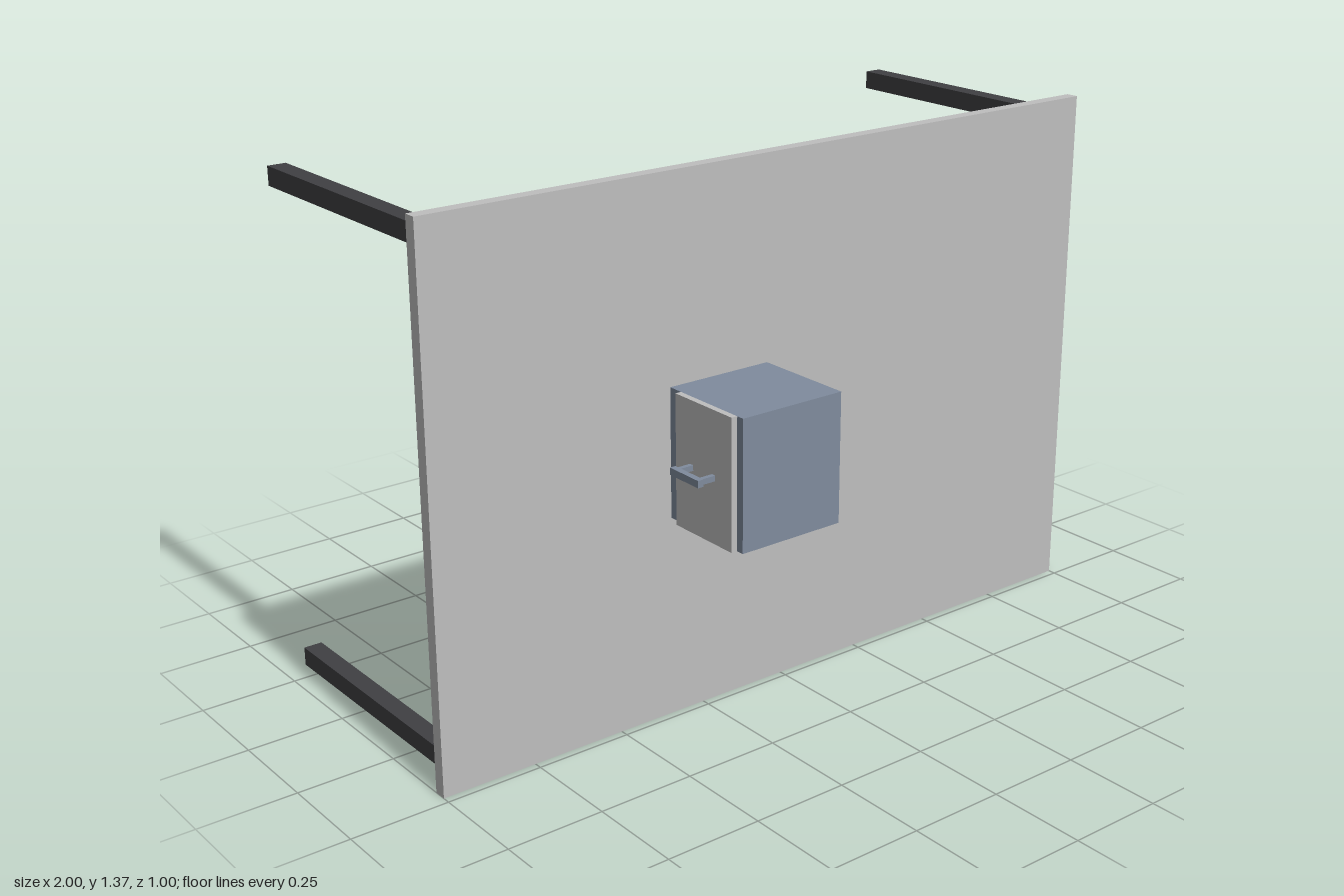
import * as THREE from 'three';

export function createModel() {
  const model = new THREE.Group();
  const material = (name, color) => {
    const m = new THREE.MeshStandardMaterial({ color });
    m.name = name;
    return m;
  };
  const grey = material('light grey', 0xbfbfbf);
  const blue = material('slate blue', 0x808c9e);
  const dark = material('charcoal', 0x404043);

  // Box given by its lower and upper corners
  const box = (name, mat, [x0, y0, z0], [x1, y1, z1], parent = model) => {
    const mesh = new THREE.Mesh(new THREE.BoxGeometry(x1 - x0, y1 - y0, z1 - z0), mat);
    mesh.position.set((x0 + x1) / 2, (y0 + y1) / 2, (z0 + z1) / 2);
    mesh.name = name;
    parent.add(mesh);
  };

  // Upright panel
  box('panel', grey, [-1, 0, 0.197], [1, 1.367, 0.23]);

  // Four legs reaching back from the corners
  for (const x of [-0.942, 0.942]) {
    for (const y of [0.06, 1.31]) {
      box('leg', dark, [x - 0.024, y - 0.024, -0.5], [x + 0.024, y + 0.024, 0.197]);
    }
  }

  // Cabinet passing through the panel
  box('cabinet', blue, [-0.344, 0.521, 0.084], [-0.052, 0.851, 0.5]);

  // Door on the cabinet's right side, with a bracket handle
  const door = new THREE.Group();
  door.name = 'door';
  model.add(door);
  box('doorPanel', grey, [-0.36, 0.521, 0.271], [-0.344, 0.851, 0.479], door);
  box('handleGrip', blue, [-0.414, 0.677, 0.319], [-0.398, 0.695, 0.425], door);
  for (const z of [0.331, 0.413]) {
    box('handleStub', blue, [-0.398, 0.679, z - 0.006], [-0.36, 0.693, z + 0.006], door);
  }

  return model;
}
